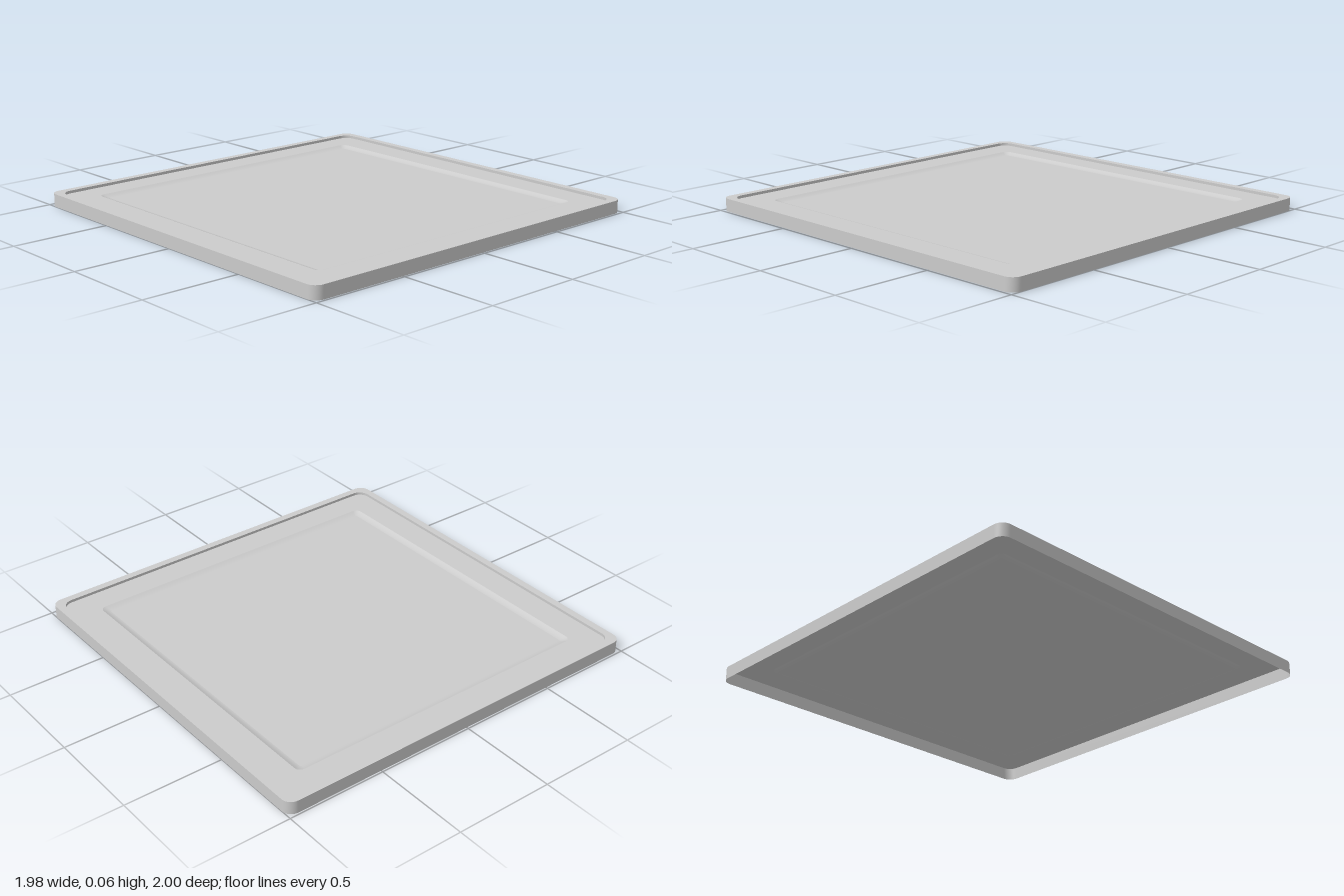
import * as THREE from 'three';

const material = new THREE.MeshStandardMaterial({ color: 0xcccccc, side: THREE.DoubleSide });
const CORNER_STEPS = 8;

// Rounded rectangle at height y, given half sizes and corner radius
function ring({ hx, hz, r, y, cx = 0 }) {
  const points = [];
  for (let corner = 0; corner < 4; corner++) {
    const sx = corner === 0 || corner === 3 ? 1 : -1;
    const sz = corner < 2 ? 1 : -1;
    for (let i = 0; i <= CORNER_STEPS; i++) {
      const a = (corner + i / CORNER_STEPS) * Math.PI / 2;
      points.push(cx + sx * (hx - r) + r * Math.cos(a), y, sz * (hz - r) + r * Math.sin(a));
    }
  }
  return points;
}

// Smooth surface through a series of rings, optionally closed in the middle
function band(name, rings, closed = false) {
  const positions = rings.flatMap(ring);
  const n = 4 * (CORNER_STEPS + 1);
  const index = [];
  for (let k = 0; k < rings.length - 1; k++) {
    for (let i = 0; i < n; i++) {
      const a = k * n + i, b = k * n + (i + 1) % n;
      index.push(a, a + n, b, b, a + n, b + n);
    }
  }
  if (closed) {
    const last = rings[rings.length - 1];
    const centre = positions.length / 3, start = centre - n;
    positions.push(last.cx || 0, last.y, 0);
    for (let i = 0; i < n; i++) index.push(start + i, centre, start + (i + 1) % n);
  }
  const geometry = new THREE.BufferGeometry();
  geometry.setAttribute('position', new THREE.Float32BufferAttribute(positions, 3));
  geometry.setIndex(index);
  geometry.computeVertexNormals();
  const mesh = new THREE.Mesh(geometry, material);
  mesh.name = name;
  return mesh;
}

export function createModel() {
  const group = new THREE.Group();
  group.name = 'shallowTray';

  const top = 0.065, ledge = 0.051, floor = 0.039;
  const foot = { hx: 0.99, hz: 1, r: 0.05, y: 0 };
  const rimOuter = { ...foot, y: top };
  const rimInner = { hx: 0.952, hz: 0.963, r: 0.055, y: top };
  const stepFoot = { ...rimInner, y: ledge };
  const dishEdge = { hx: 0.82, hz: 0.823, r: 0.03, y: ledge, cx: -0.005 };

  // Hollow dish: a concave slope fading into the floor
  const slope = [];
  for (let i = 0; i <= 5; i++) {
    const t = i / 5, inset = 0.035 * t;
    slope.push({
      hx: dishEdge.hx - inset, hz: dishEdge.hz - inset, r: 0.03 - 0.02 * t,
      y: floor + (ledge - floor) * (1 - t) ** 1.5, cx: dishEdge.cx,
    });
  }

  group.add(
    band('outerWall', [foot, rimOuter]), // open underneath
    band('rimTop', [rimOuter, rimInner]),
    band('rimStep', [rimInner, stepFoot]),
    band('ledge', [stepFoot, dishEdge]),
    band('dishSlope', slope),
    band('dishFloor', [slope[5], { ...slope[5], hx: 0.4, hz: 0.4 }], true),
  );
  return group;
}
